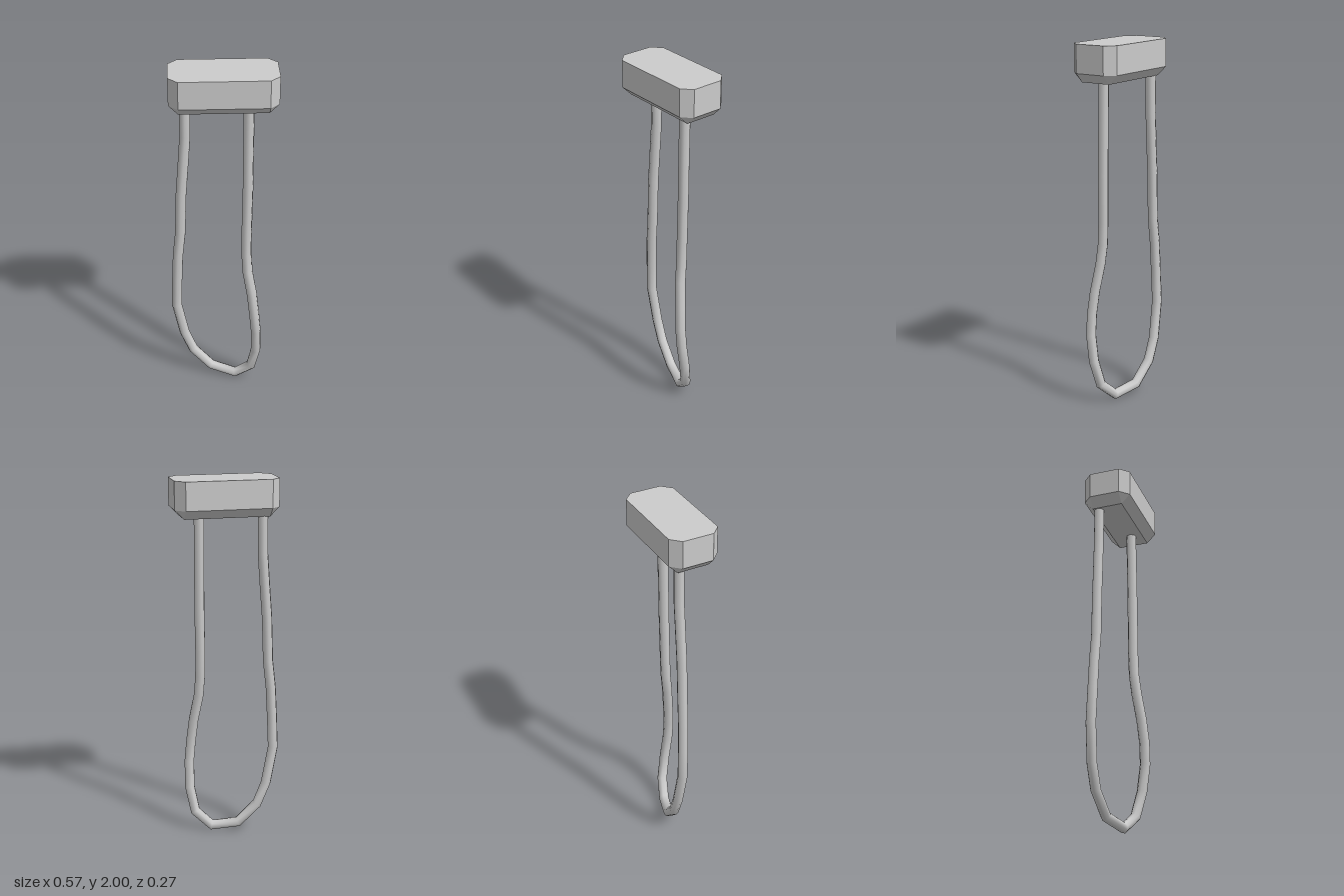
import * as THREE from 'three';
import { ConvexGeometry } from 'three/addons/geometries/ConvexGeometry.js';

// Straight runs between points, with one tube ring at each point
class CordPath extends THREE.Curve {
  constructor(points) {
    super();
    this.points = points.map((p) => new THREE.Vector3(...p));
  }
  getUtoTmapping(u) {
    return u;
  }
  getPoint(t, target = new THREE.Vector3()) {
    const last = this.points.length - 1;
    const i = Math.min(Math.floor(t * last + 1e-9), last - 1);
    return target.lerpVectors(this.points[i], this.points[i + 1], t * last - i);
  }
}

// Bar with cut vertical corners and a bevel round its lower edge
function barGeometry() {
  const cx = 0.004, w = 0.28, d = 0.135, c = 0.05;
  const pts = [];
  for (const sx of [-1, 1]) {
    for (const sz of [-1, 1]) {
      for (const y of [2, 1.85]) {
        pts.push(new THREE.Vector3(cx + sx * w, y, sz * (d - c)));
        pts.push(new THREE.Vector3(cx + sx * (w - c), y, sz * d));
      }
      pts.push(new THREE.Vector3(cx + sx * (w - c), 1.8, sz * (d - c)));
    }
  }
  return new ConvexGeometry(pts);
}

export function createModel() {
  const group = new THREE.Group();
  const material = new THREE.MeshStandardMaterial({ color: 0xcccccc });
  const flat = material.clone();
  flat.flatShading = true;

  const bar = new THREE.Mesh(barGeometry(), flat);
  bar.name = 'handleBar';
  group.add(bar);

  // Hanging cord: down the right strand, round the bottom, up the left strand
  const path = new CordPath([
    [-0.193, 1.82, -0.06], [-0.195, 1.6, -0.06], [-0.21, 1.4, -0.058],
    [-0.222, 1.25, -0.057], [-0.231, 1.0, -0.056], [-0.247, 0.85, -0.06],
    [-0.255, 0.68, -0.064], [-0.261, 0.5, -0.069], [-0.22, 0.29, -0.076],
    [-0.17, 0.165, -0.073], [-0.065, 0.055, -0.055], [0.077, 0.029, -0.01],
    [0.165, 0.11, 0.024], [0.19, 0.25, 0.053], [0.188, 0.4, 0.073],
    [0.177, 0.52, 0.074], [0.163, 0.65, 0.063], [0.137, 0.8, 0.044],
    [0.131, 0.91, 0.032], [0.13, 1.04, 0.028], [0.134, 1.3, 0.025],
    [0.134, 1.55, 0.022], [0.135, 1.82, 0.018],
  ]);
  const cord = new THREE.Mesh(
    new THREE.TubeGeometry(path, path.points.length - 1, 0.0285, 8, false),
    material
  );
  cord.name = 'cordLoop';
  group.add(cord);

  return group;
}
